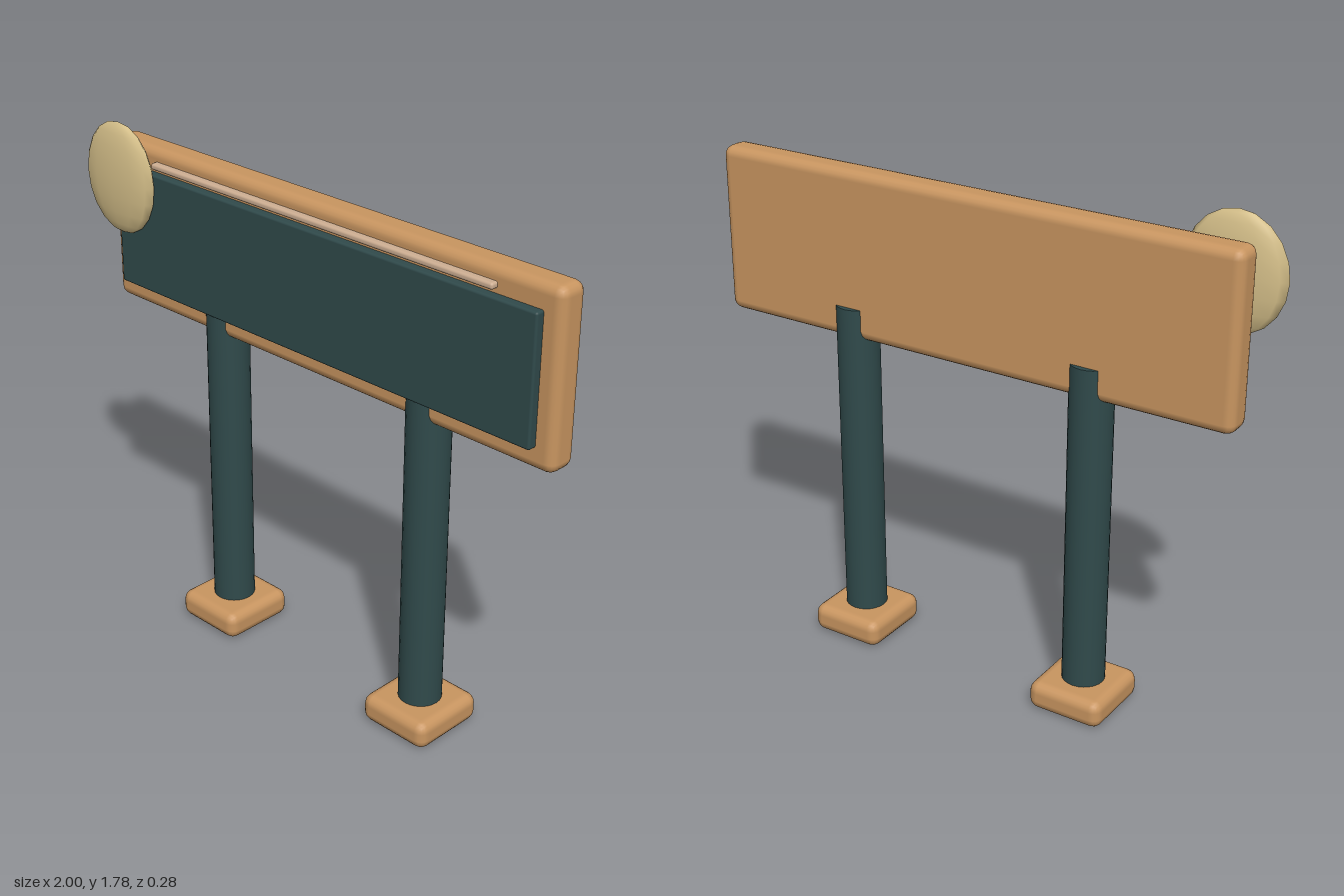
import * as THREE from 'three';
import { RoundedBoxGeometry } from 'three/addons/geometries/RoundedBoxGeometry.js';

const mat = (name, color) => {
  const m = new THREE.MeshStandardMaterial({ color });
  m.name = name;
  return m;
};

export function createModel() {
  const model = new THREE.Group();
  model.name = 'signpost';
  const wood = mat('wood', 0xc89560);
  const teal = mat('dark teal', 0x304a4b);
  const pale = mat('pale wood', 0xcdae92);
  const sand = mat('sand', 0xd6c08a);

  const add = (name, geometry, material, x, y, z) => {
    const mesh = new THREE.Mesh(geometry, material);
    mesh.name = name;
    mesh.position.set(x, y, z);
    model.add(mesh);
    return mesh;
  };
  const box = (w, h, d, r) => new RoundedBoxGeometry(w, h, d, 2, r);

  // Board with its raised front panel
  add('board', box(1.92, 0.58, 0.108, 0.034), wood, 0.04, 1.42, 0.001);
  add('panel', box(1.795, 0.425, 0.036, 0.008), teal, 0.038, 1.418, 0.067);

  // Thin trim strip above the panel
  add('trimStrip', box(1.46, 0.022, 0.032, 0.009), pale, 0.04, 1.656, 0.064);

  // Flattened round ornament on the upper corner
  const ornament = add('ornament', new THREE.SphereGeometry(1, 12, 10), sand, -0.828, 1.588, 0.096);
  ornament.scale.set(0.172, 0.193, 0.039);

  // Posts on padded feet
  for (const x of [-0.415, 0.487]) {
    add('post', new THREE.CylinderGeometry(0.073, 0.073, 1.18, 24), teal, x, 0.65, 0);
    add('foot', box(0.272, 0.1, 0.28, 0.036), wood, x, 0.05, 0);
  }
  return model;
}
